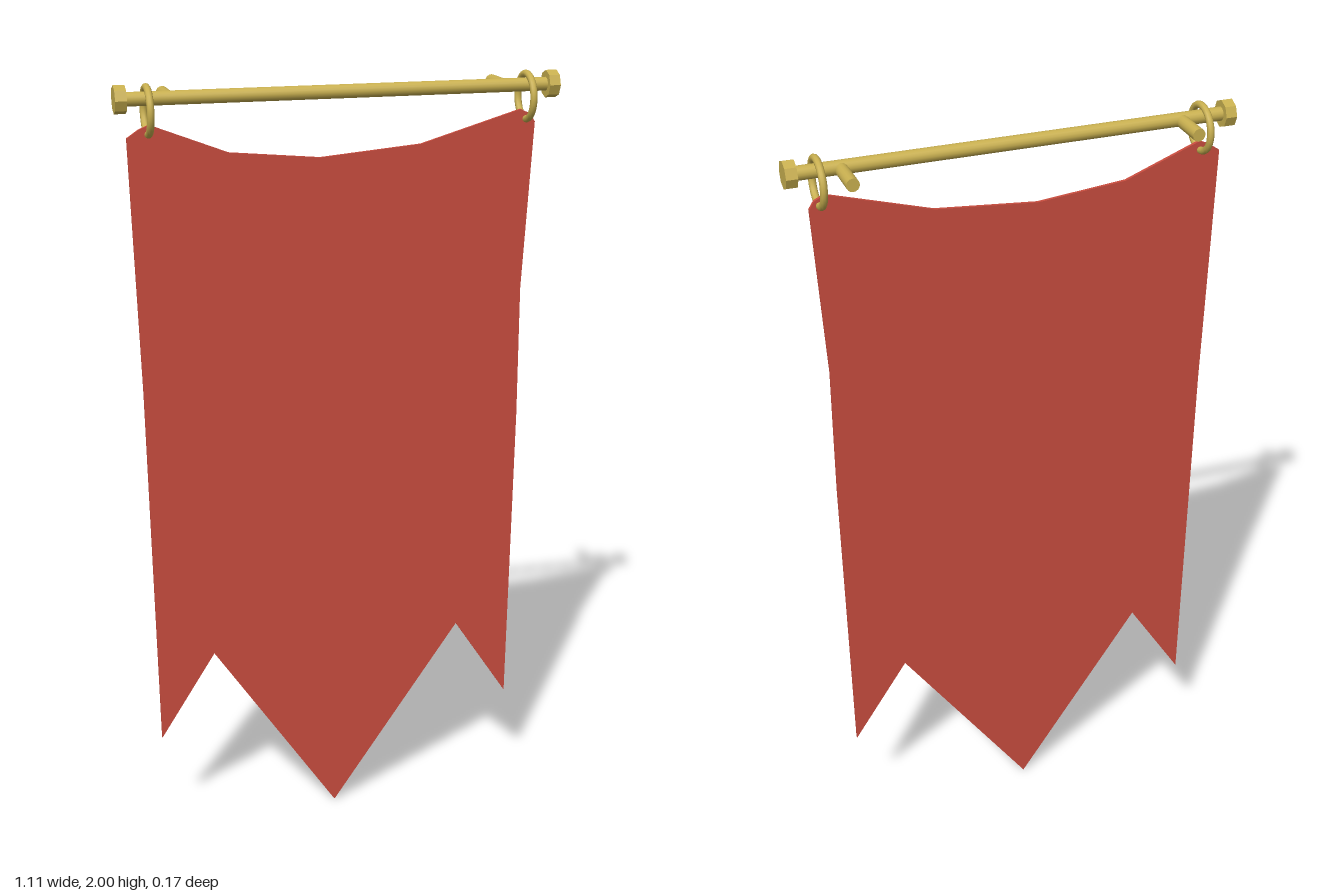
import * as THREE from 'three';

const ROD_Y = 1.962, ROD_Z = 0.016;

export function createModel() {
  const model = new THREE.Group();
  const brass = new THREE.MeshStandardMaterial({ color: 0xc9b050 });
  const brassFlat = new THREE.MeshStandardMaterial({ color: 0xc9b050, flatShading: true });
  const red = new THREE.MeshStandardMaterial({ color: 0xc84c3e });

  const add = (name, geometry, material, x, y, z) => {
    const mesh = new THREE.Mesh(geometry, material);
    mesh.name = name;
    mesh.position.set(x, y, z);
    model.add(mesh);
    return mesh;
  };

  // Cloth: thin sheet with a sagging top edge and three pointed tails
  const outline = [
    [-0.53, 1.87], [-0.513, 1.235], [-0.5, 0.262], [-0.352, 0.495],
    [-0.021, 0], [0.326, 0.501], [0.474, 0.276], [0.482, 1.1], [0.48, 1.44],
    [0.503, 1.87], [0.49, 1.89], [0.465, 1.902], [0.204, 1.826], [-0.055, 1.804],
    [-0.283, 1.826], [-0.475, 1.9], [-0.5, 1.89],
  ].map(([x, y]) => new THREE.Vector2(x, y));
  const thickness = 0.008;
  const cloth = new THREE.ExtrudeGeometry(new THREE.Shape(outline), {
    depth: thickness, bevelEnabled: false,
  });
  add('bannerCloth', cloth, red, 0, 0, ROD_Z - thickness / 2);

  // Horizontal rod
  const rod = new THREE.CylinderGeometry(0.017, 0.017, 1.08, 16).rotateZ(Math.PI / 2);
  add('rod', rod, brass, 0, ROD_Y, ROD_Z);

  // End caps, hanging rings and wall pegs on both sides
  const cap = new THREE.CylinderGeometry(0.034, 0.034, 0.028, 8).rotateZ(Math.PI / 2);
  const ring = new THREE.TorusGeometry(0.056, 0.009, 10, 28).rotateY(Math.PI / 2);
  const peg = new THREE.CylinderGeometry(0.016, 0.016, 0.1, 16).rotateX(Math.PI / 2);
  for (const [side, s] of [['left', 1], ['right', -1]]) {
    add(side + 'EndCap', cap, brassFlat, s * 0.543, ROD_Y, ROD_Z);
    add(side + 'Ring', ring, brass, s * 0.478, 1.933, ROD_Z);
    add(side + 'WallPeg', peg, brass, s * 0.423, ROD_Y - 0.002, -0.039);
  }
  return model;
}
